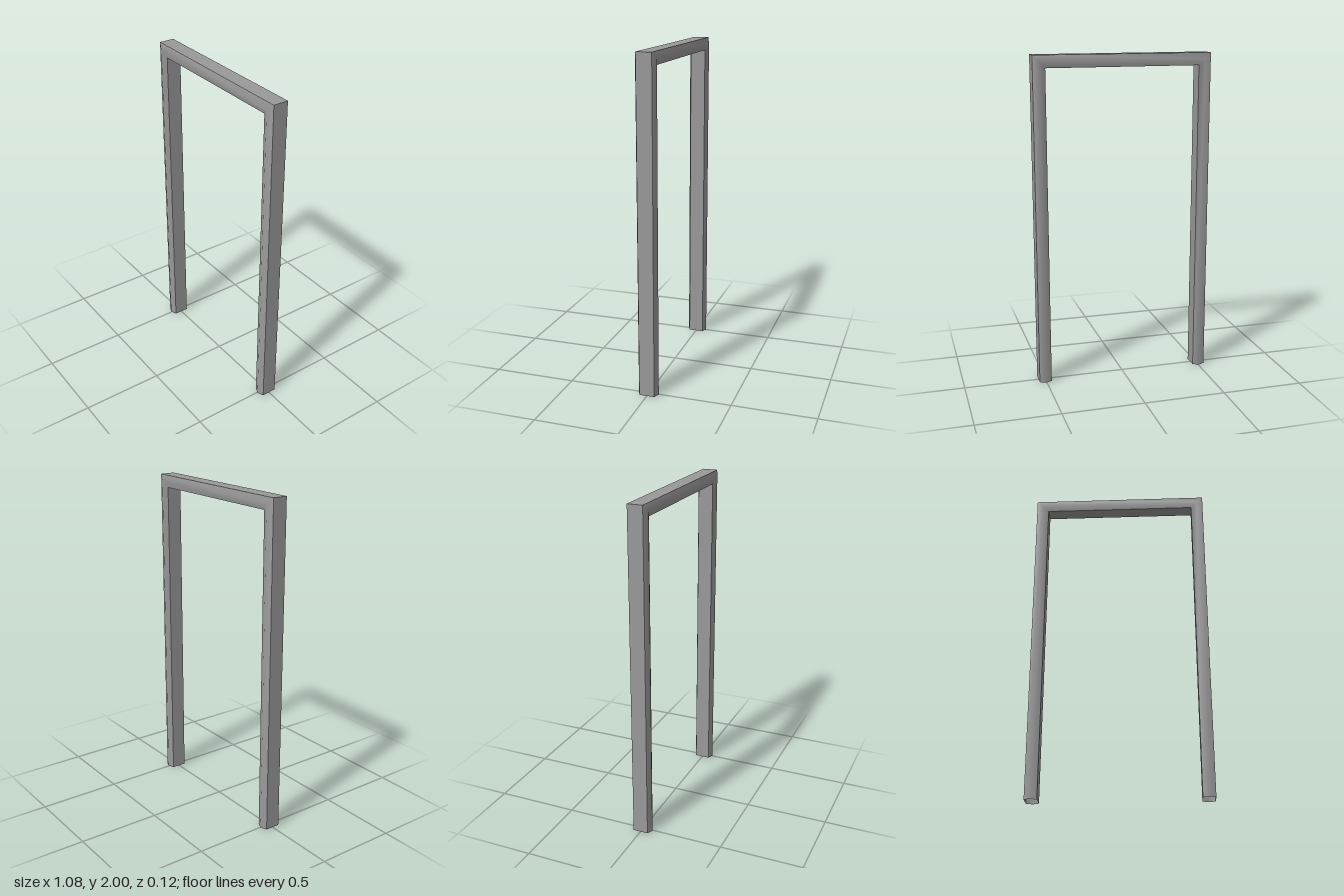
import * as THREE from 'three';
import { toCreasedNormals } from 'three/addons/utils/BufferGeometryUtils.js';

const H = 0.0375;          // half the bar width
const CX = 0.5045;         // post centre line
const CY = 2 - H;          // lintel centre line

// Hexagonal bar section [outward offset, z]: flat edges, ridged front and back
const SECTION = [
  [H, 0.046], [0, 0.062], [-H, 0.046],
  [-H, -0.046], [0, -0.062], [H, -0.046],
];

// The section at the four stations: left foot, two mitred corners, right foot
const STATIONS = [
  (u) => [-CX - u, 0],
  (u) => [-CX - u, CY + u],
  (u) => [CX + u, CY + u],
  (u) => [CX + u, 0],
];

function frameGeometry() {
  const n = SECTION.length;
  const positions = [];
  const index = [];
  for (const station of STATIONS) {
    for (const [u, z] of SECTION) positions.push(...station(u), z);
  }
  // Walls between neighbouring stations; the feet stay open
  for (let s = 0; s < STATIONS.length - 1; s++) {
    for (let i = 0; i < n; i++) {
      const a = s * n + i, b = s * n + (i + 1) % n;
      index.push(a, b, b + n, a, b + n, a + n);
    }
  }
  const geometry = new THREE.BufferGeometry();
  geometry.setAttribute('position', new THREE.Float32BufferAttribute(positions, 3));
  geometry.setIndex(index);
  // Soft ridge and mitres, sharp side edges
  return toCreasedNormals(geometry, 1.0);
}

export function createModel() {
  const group = new THREE.Group();
  group.name = 'doorFrame';
  const material = new THREE.MeshStandardMaterial({ color: 0x999999, side: THREE.DoubleSide });
  const frame = new THREE.Mesh(frameGeometry(), material);
  frame.name = 'frame';
  group.add(frame);
  return group;
}
